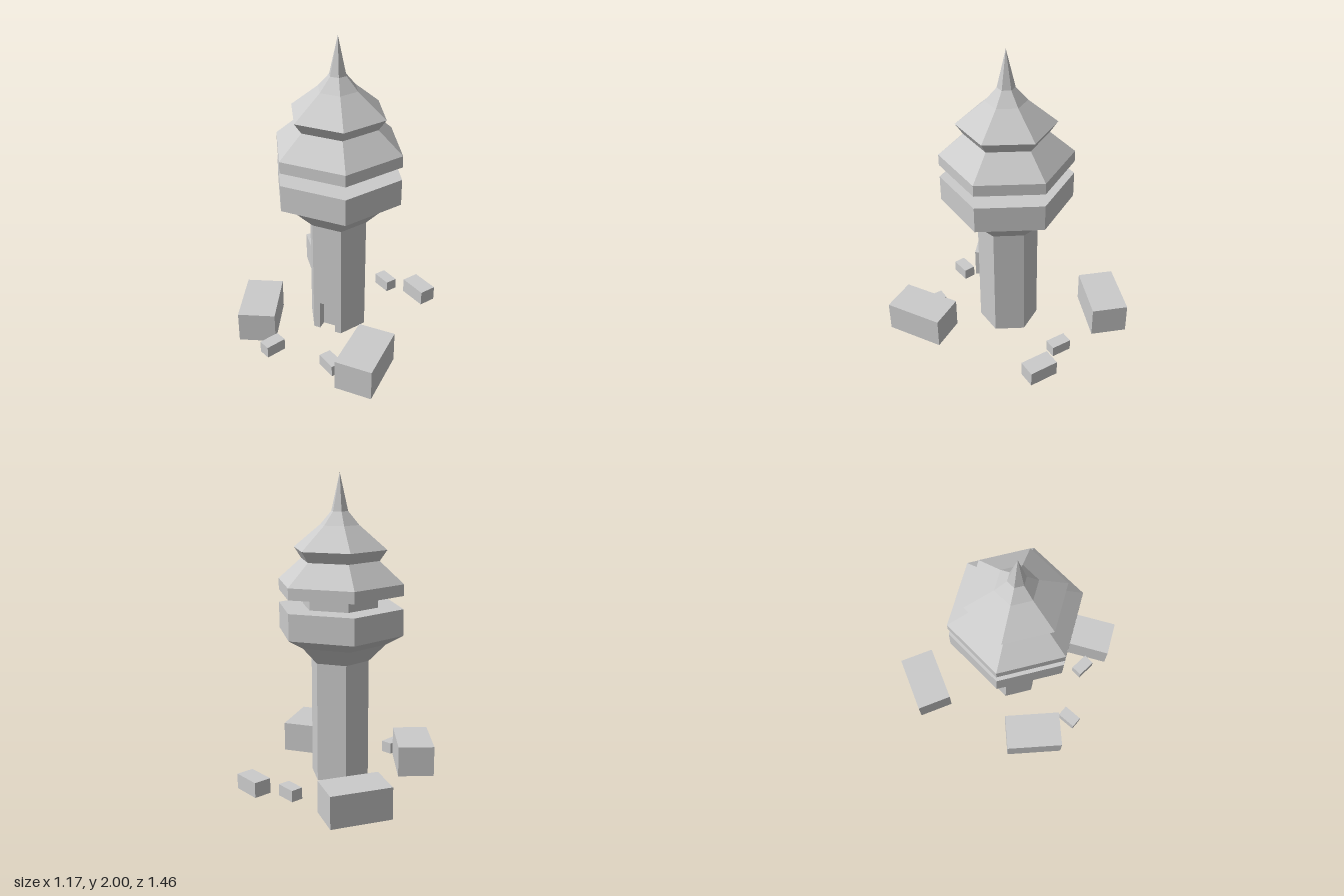
import * as THREE from 'three';

const material = new THREE.MeshStandardMaterial({
  color: 0xcccccc, flatShading: true, side: THREE.DoubleSide,
});

function add(parent, name, geometry, x = 0, y = 0, z = 0) {
  const mesh = new THREE.Mesh(geometry, material);
  mesh.name = name;
  mesh.position.set(x, y, z);
  parent.add(mesh);
  return mesh;
}

// Six-sided revolved profile of [radius, y] pairs, with corners on the x axis
function hexLathe(profile, sides = 6) {
  const points = profile.map(([r, y]) => new THREE.Vector2(r, y));
  return new THREE.LatheGeometry(points, sides, Math.PI / 6, sides * Math.PI / 3);
}

// Box standing on y = 0 without some of its faces (0..5 = +x -x +y -y +z -z)
function openBox(w, h, d, missing) {
  const box = new THREE.BoxGeometry(w, h, d).translate(0, h / 2, 0);
  const index = Array.from(box.index.array);
  box.setIndex(index.filter((_, i) => !missing.includes(Math.floor(i / 6))));
  box.clearGroups();
  return box;
}

export function createModel() {
  const model = new THREE.Group();
  model.name = 'towerWithHuts';

  const tower = new THREE.Group();
  tower.name = 'tower';
  tower.position.set(0.038, 0, 0.07);
  model.add(tower);

  // Shaft: five plain sides, and a front side with a doorway
  const shaftR = 0.197, shaftH = 0.8;
  const frontZ = shaftR * Math.cos(Math.PI / 6);
  const doorW = 0.108, doorH = 0.205, doorDepth = 0.06;
  add(tower, 'shaft', hexLathe([[shaftR, 0], [shaftR, shaftH]], 5));

  const front = new THREE.Shape();
  const half = shaftR / 2, jamb = doorW / 2;
  front.moveTo(-half, 0);
  front.lineTo(-jamb, 0);
  front.lineTo(-jamb, doorH);
  front.lineTo(jamb, doorH);
  front.lineTo(jamb, 0);
  front.lineTo(half, 0);
  front.lineTo(half, shaftH);
  front.lineTo(-half, shaftH);
  add(tower, 'shaftFront', new THREE.ShapeGeometry(front), 0, 0, frontZ);
  add(tower, 'doorway', openBox(doorW, doorH, doorDepth, [3, 4]), 0, 0, frontZ - doorDepth / 2);

  // Flared gallery with its parapet and floor
  add(tower, 'gallery', hexLathe([
    [shaftR, 0.8], [0.31, 0.917], [0.424, 0.983], [0.424, 1.155], [0.255, 1.155],
  ]));

  // Recessed lookout room
  add(tower, 'lookoutRoom', hexLathe([[0.255, 1.155], [0.255, 1.24]]));

  // Lower roof with a thick eave
  add(tower, 'lowerRoof', hexLathe([
    [0.255, 1.24], [0.424, 1.24], [0.424, 1.314], [0.264, 1.454],
  ]));

  // Upper roof with a flared eave and a spire
  add(tower, 'upperRoof', hexLathe([
    [0.264, 1.454], [0.313, 1.525], [0.13, 1.675], [0.056, 1.76], [0, 2],
  ]));

  // Huts and crates around the tower: name, x, z, width, height, depth, turn
  const blocks = [
    ['hut', 0.427, 0.53, 0.24, 0.205, 0.39, 0],
    ['hut', -0.404, 0.345, 0.24, 0.205, 0.39, 0.344],
    ['hut', -0.248, -0.52, 0.24, 0.205, 0.39, -0.918],
    ['crate', 0.472, -0.379, 0.117, 0.1, 0.196, 1.032],
    ['crate', 0.213, -0.396, 0.08, 0.075, 0.136, 1.03],
    ['crate', 0.213, 0.571, 0.08, 0.075, 0.136, 1.03],
    ['crate', -0.201, 0.571, 0.08, 0.078, 0.136, -0.444],
  ];
  blocks.forEach(([name, x, z, w, h, d, turn], i) => {
    add(model, name + (i + 1), openBox(w, h, d, [3]), x, 0, z).rotation.y = turn;
  });

  return model;
}
